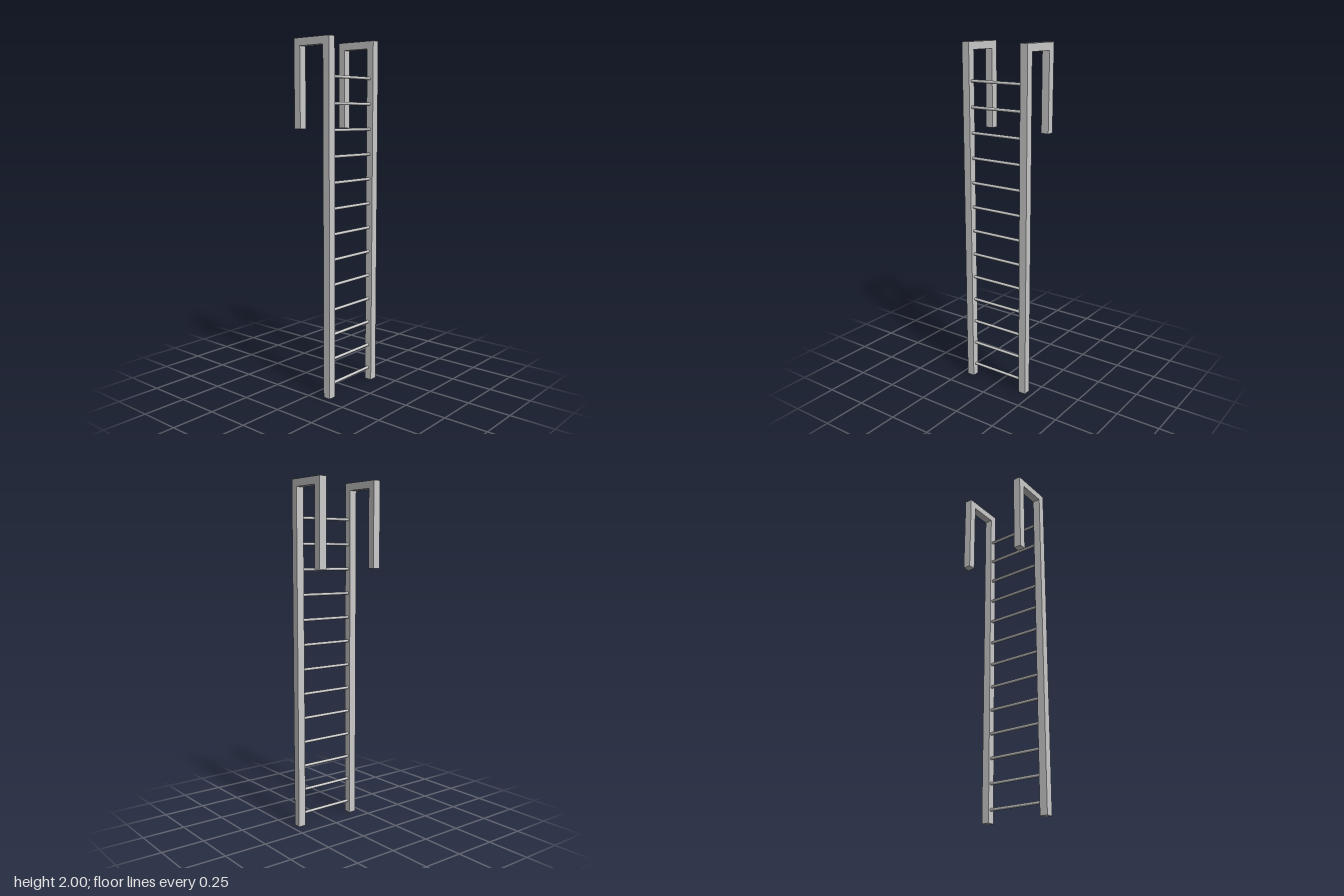
import * as THREE from 'three';

export function createModel() {
  const group = new THREE.Group();
  const material = new THREE.MeshStandardMaterial({ color: 0xcccccc });

  // Hooked side rails: an upside-down J outline, extruded across its width.
  // Outline x is the model's z; outline y is height.
  const front = 0.127, back = -0.127, bar = 0.044, width = 0.046;
  const outline = new THREE.Shape([
    [front, 0], [front, 2], [back, 2], [back, 1.51],
    [back + bar, 1.51], [back + bar, 1.957], [front - bar, 1.957], [front - bar, 0],
  ].map(([z, y]) => new THREE.Vector2(z, y)));
  const railGeometry = new THREE.ExtrudeGeometry(outline, { depth: width, bevelEnabled: false });
  railGeometry.translate(0, 0, -width / 2);
  railGeometry.rotateY(-Math.PI / 2);

  for (const [name, side] of [['leftRail', 1], ['rightRail', -1]]) {
    const rail = new THREE.Mesh(railGeometry, material);
    rail.name = name;
    rail.position.x = side * 0.19;
    group.add(rail);
  }

  // Thin round rungs between the front uprights
  const rungGeometry = new THREE.CylinderGeometry(0.0085, 0.0085, 0.336, 16);
  rungGeometry.rotateZ(Math.PI / 2);
  const rungs = new THREE.Group();
  rungs.name = 'rungs';
  for (let i = 0; i < 13; i++) {
    const rung = new THREE.Mesh(rungGeometry, material);
    rung.name = `rung${i + 1}`;
    rung.position.set(0, 0.073 + i * 0.1432, 0.102);
    rungs.add(rung);
  }
  group.add(rungs);

  return group;
}
